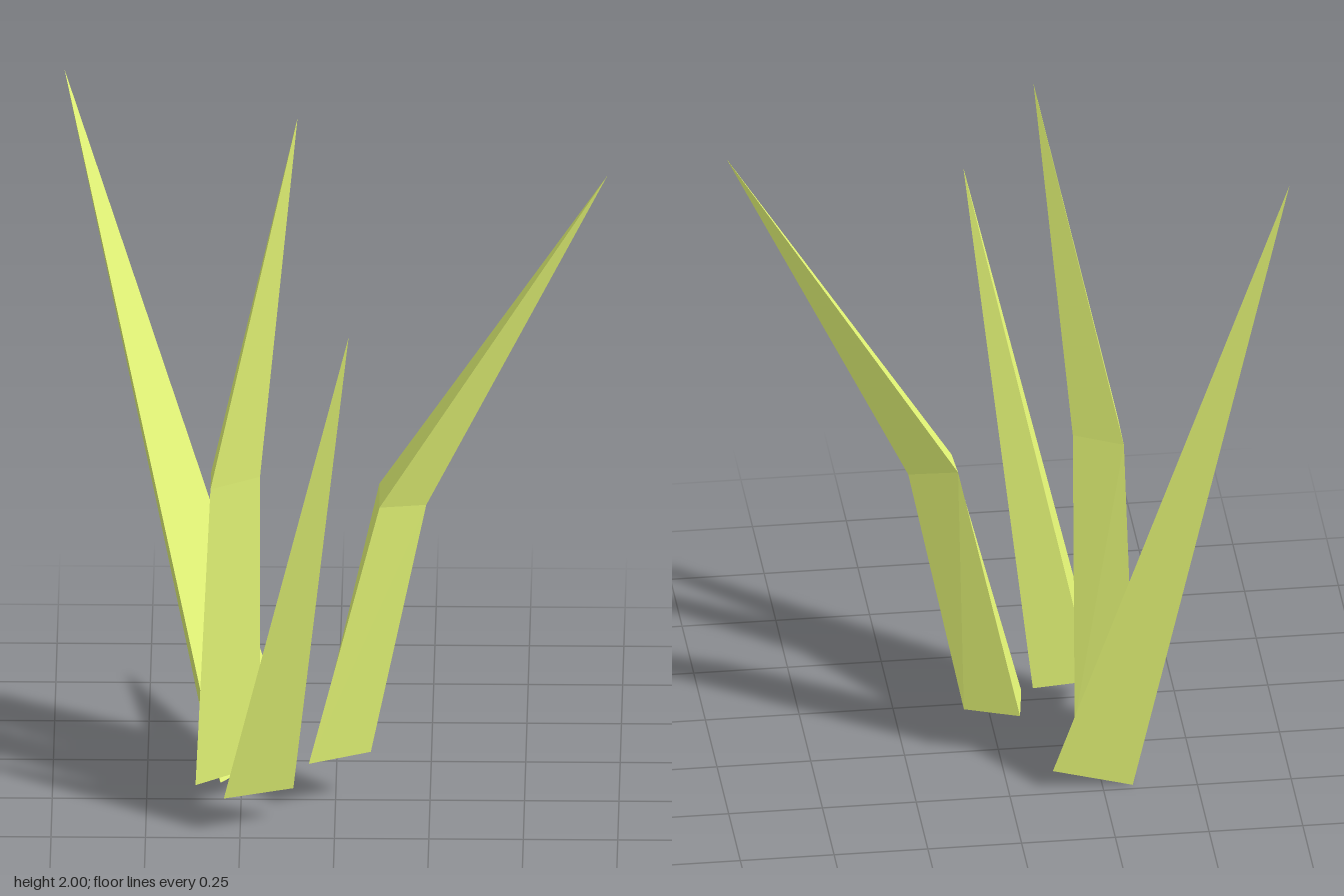
import * as THREE from 'three';

// Each blade: triangular rings (counter-clockwise seen from above), ending in a tip
const BLADES = [
  {
    name: 'backBlade',
    rings: [[[-0.117, 0.057, -0.23], [-0.33, 0, -0.23], [-0.305, 0.027, -0.045]]],
    tip: [-0.723, 1.92, -0.433],
  },
  {
    name: 'tallBlade',
    rings: [
      [[-0.37, 0.07, 0.067], [-0.2, 0.085, -0.03], [-0.355, 0.08, -0.08]],
      [[-0.33, 0.94, 0.093], [-0.2, 0.94, 0.01], [-0.33, 0.93, -0.04]],
    ],
    tip: [-0.1, 2, 0.05],
  },
  {
    name: 'frontBlade',
    rings: [[[-0.293, 0.105, 0.23], [-0.11, 0.097, 0.143], [-0.263, 0.135, 0.097]]],
    tip: [0.04, 1.535, 0.43],
  },
  {
    name: 'bentBlade',
    rings: [
      [[-0.07, 0.135, 0.07], [0.093, 0.135, -0.01], [-0.05, 0.135, -0.065]],
      [[0.117, 0.875, 0.06], [0.24, 0.857, 0], [0.115, 0.89, -0.062]],
    ],
    tip: [0.72, 1.833, 0.04],
  },
];

// Open-bottomed hollow blade made of flat faces
function bladeGeometry({ rings, tip }) {
  const positions = [];
  const face = (...corners) => corners.forEach((c) => positions.push(...c));
  rings.forEach((ring, level) => {
    const next = rings[level + 1];
    for (let i = 0; i < 3; i++) {
      const j = (i + 1) % 3;
      if (next) {
        face(ring[i], ring[j], next[j]);
        face(ring[i], next[j], next[i]);
      } else {
        face(ring[i], ring[j], tip);
      }
    }
  });
  const geometry = new THREE.BufferGeometry();
  geometry.setAttribute('position', new THREE.Float32BufferAttribute(positions, 3));
  geometry.computeVertexNormals();
  return geometry;
}

export function createModel() {
  const group = new THREE.Group();
  group.name = 'grassTuft';
  const material = new THREE.MeshStandardMaterial({
    color: 0xe8fa78,
    flatShading: true,
    side: THREE.DoubleSide,
  });
  for (const blade of BLADES) {
    const mesh = new THREE.Mesh(bladeGeometry(blade), material);
    mesh.name = blade.name;
    group.add(mesh);
  }
  return group;
}
